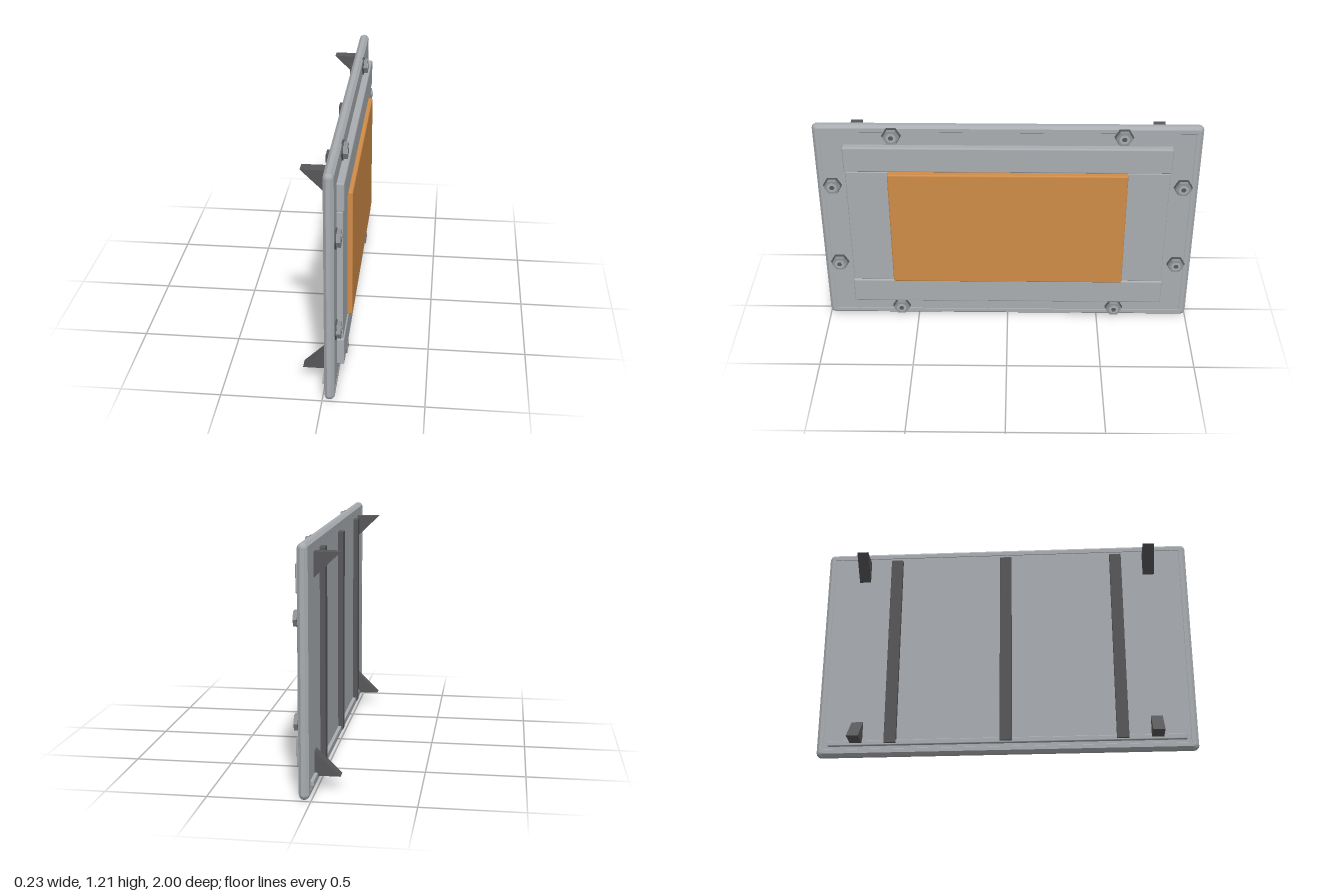
import * as THREE from 'three';
import { RoundedBoxGeometry } from 'three/addons/geometries/RoundedBoxGeometry.js';

const paint = (name, color) => {
  const m = new THREE.MeshStandardMaterial({ color });
  m.name = name;
  return m;
};

export function createModel() {
  const steel = paint('steel grey', 0xa9adb1);
  const boltGrey = paint('bolt grey', 0x8f9396);
  const dark = paint('dark grey', 0x58585a);
  const orange = paint('orange', 0xd08c48);
  const model = new THREE.Group();
  model.name = 'wallPanel';

  const add = (name, geometry, material, x, y, z, parent = model) => {
    const mesh = new THREE.Mesh(geometry, material);
    mesh.name = name;
    mesh.position.set(x, y, z);
    parent.add(mesh);
    return mesh;
  };
  // Box given by its limits on each axis, with softened edges when r > 0
  const block = (name, mat, [x0, x1], [y0, y1], [z0, z1], r = 0) => {
    const size = [x1 - x0, y1 - y0, z1 - z0];
    const g = r ? new RoundedBoxGeometry(...size, 2, r) : new THREE.BoxGeometry(...size);
    return add(name, g, mat, (x0 + x1) / 2, (y0 + y1) / 2, (z0 + z1) / 2);
  };
  // Faceted cylinder whose axis points along x
  const disc = (r, h, sides) =>
    new THREE.CylinderGeometry(r, r, h, sides).toNonIndexed().rotateZ(-Math.PI / 2);
  const flat = (g) => { g.computeVertexNormals(); return g; };

  // Back plate and its eight-sided edge rails
  block('plate', steel, [0.012, 0.058], [0.02, 1.19], [-0.98, 0.98]);
  const R = 0.027;
  const rail = (length) => flat(new THREE.CylinderGeometry(R, R, length, 8)
    .toNonIndexed().rotateY(Math.PI / 8));
  for (const y of [0.025, 1.185])
    add('horizontalRail', rail(1.95).rotateX(Math.PI / 2), steel, 0.035, y, 0);
  for (const z of [-0.975, 0.975]) {
    add('verticalRail', rail(1.16), steel, 0.035, 0.605, z);
    for (const y of [0.025, 1.185])
      add('railCorner', new THREE.SphereGeometry(R, 8, 6), steel, 0.035, y, z);
  }

  // Raised frame
  block('frameTop', steel, [0.05, 0.094], [0.955, 1.1], [-0.85, 0.85], 0.008);
  block('frameBottom', steel, [0.05, 0.094], [0.115, 0.26], [-0.85, 0.85], 0.008);
  for (const s of [-1, 1]) {
    const a = 0.62 * s, b = 0.845 * s;
    block('frameSide', steel, [0.05, 0.088], [0.262, 0.953],
      [Math.min(a, b), Math.max(a, b)], 0.006);
  }

  // Coloured centre panel
  block('centrePanel', orange, [0.06, 0.114], [0.265, 0.95], [-0.625, 0.625], 0.008);

  // Hex bolts with flange, cap and socket
  const bolt = (y, z) => {
    const g = new THREE.Group();
    g.name = 'bolt';
    g.position.set(0, y, z);
    add('flange', flat(disc(0.05, 0.01, 6)), dark, 0.061, 0, 0, g);
    add('head', flat(disc(0.042, 0.022, 6)), boltGrey, 0.076, 0, 0, g);
    add('cap', disc(0.026, 0.004, 16), steel, 0.087, 0, 0, g);
    add('socket', flat(disc(0.014, 0.002, 6)), dark, 0.089, 0, 0, g);
    model.add(g);
  };
  for (const s of [-1, 1]) {
    for (const y of [0.06, 1.155]) bolt(y, 0.595 * s);
    for (const y of [0.36, 0.855]) bolt(y, 0.92 * s);
  }

  // Rear ribs and lower ledge
  for (const z of [-0.61, 0, 0.61])
    block('rearRib', dark, [-0.015, 0.02], [0.06, 1.15], [z - 0.032, z + 0.032], 0.004);
  block('rearLedge', steel, [-0.005, 0.02], [0.052, 0.08], [-0.94, 0.94], 0.004);

  // Triangular mounting brackets
  const bracket = (name, tipY, wallY, z) => {
    const shape = new THREE.Shape([
      new THREE.Vector2(-0.115, tipY),
      new THREE.Vector2(0.014, wallY),
      new THREE.Vector2(0.014, tipY),
    ]);
    const g = new THREE.ExtrudeGeometry(shape, { depth: 0.062, bevelEnabled: false });
    add(name, g, dark, 0, 0, z - 0.031);
  };
  for (const z of [-0.79, 0.79]) {
    bracket('upperBracket', 1.15, 1.025, z);
    bracket('lowerBracket', 0.065, 0.19, z);
  }
  return model;
}
